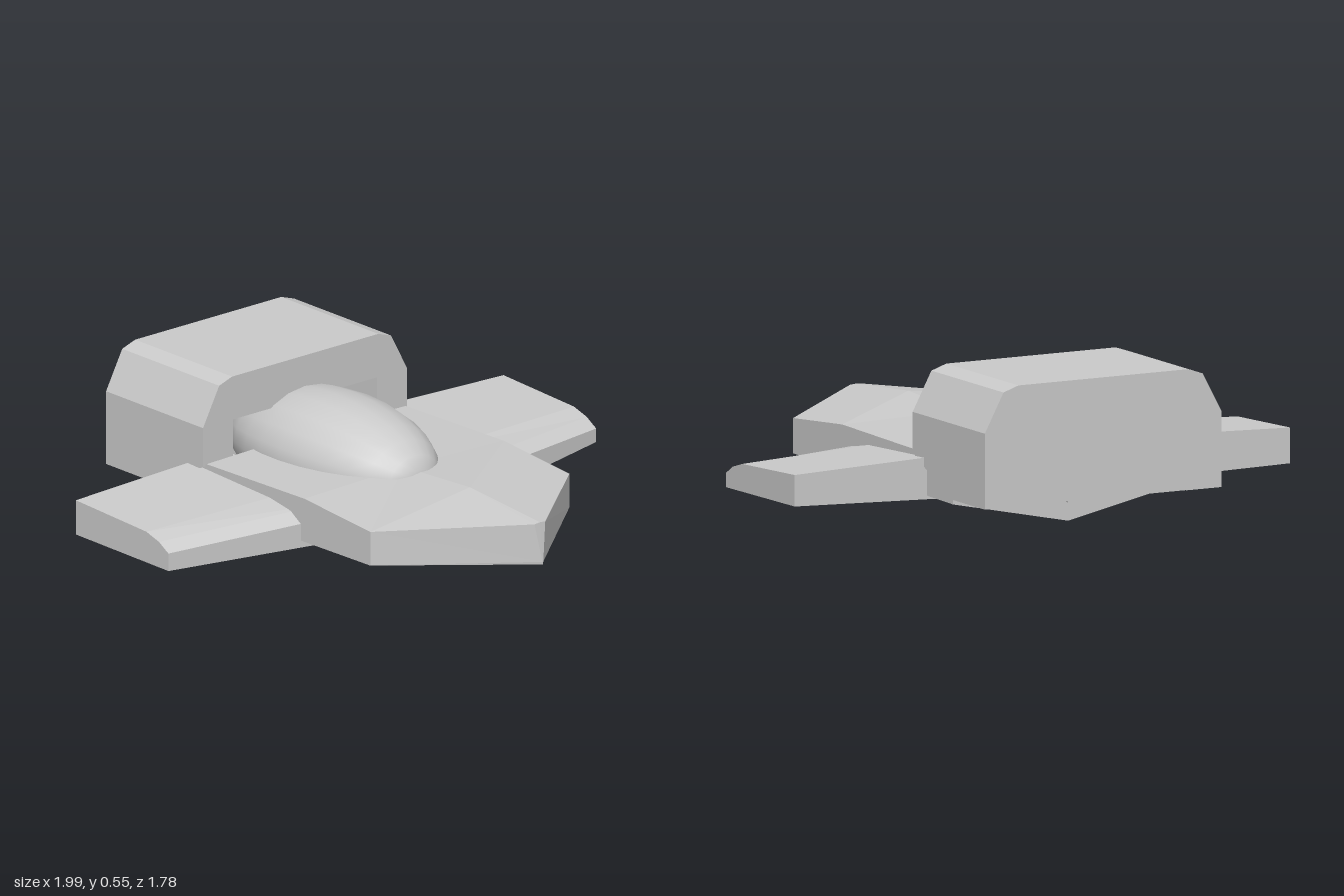
import * as THREE from 'three';

const material = new THREE.MeshStandardMaterial({ color: 0xcccccc, flatShading: true });
const smoothMaterial = new THREE.MeshStandardMaterial({ color: 0xcccccc });

// Skin over cross-sections (counter-clockwise [x, y, z] loops, back to front), capped at both ends
function loft(sections) {
  const n = sections[0].length;
  const index = [];
  for (let i = 0; i < sections.length - 1; i++) {
    for (let j = 0; j < n; j++) {
      const a = i * n + j, b = i * n + (j + 1) % n;
      index.push(a, b, b + n, a, b + n, a + n);
    }
  }
  const cap = (s) => THREE.ShapeUtils.triangulateShape(
    sections[s].map(([x, y]) => new THREE.Vector2(x, y)), []);
  const last = sections.length - 1;
  cap(0).forEach(([a, b, c]) => index.push(a, c, b));
  cap(last).forEach(([a, b, c]) => index.push(a + last * n, b + last * n, c + last * n));
  const indexed = new THREE.BufferGeometry();
  indexed.setAttribute('position', new THREE.Float32BufferAttribute(sections.flat(2), 3));
  indexed.setIndex(index);
  const geometry = indexed.toNonIndexed();
  geometry.computeVertexNormals();
  return geometry;
}

function addPart(group, name, geometry, mat = material) {
  const mesh = new THREE.Mesh(geometry, mat);
  mesh.name = name;
  group.add(mesh);
  return mesh;
}

const hullSection = (z, top, ridge, low, keel, w = 0.463) => [
  [w, low, z], [w, top, z], [0, ridge, z], [-w, top, z], [-w, low, z], [0, keel, z],
];

// Housing outline, with a notch in its underside up to notchTop
const housingSection = (z, base, notchTop) => [
  [0.335, base, z], [0.475, base, z], [0.475, 0.39, z], [0.4, 0.53, z], [0.34, 0.55, z],
  [-0.34, 0.55, z], [-0.4, 0.53, z], [-0.475, 0.39, z], [-0.475, base, z], [-0.335, base, z],
  [-0.335, notchTop, z], [0.335, notchTop, z],
];

// Wing profile: leading edge, bottom and top heights, at a distance from the centre
function wingSection(span, lead, bottom, rearBottom, nose, crest, rearTop, side) {
  const loop = [
    [-lead, bottom], [0.457, rearBottom], [0.457, rearTop], [0.1 - lead * 0.5, crest],
    [-lead + 0.05, nose + (crest - nose) * 0.6], [-lead, nose],
  ].map(([x, y]) => [x * side, y, span]);
  return side > 0 ? loop : loop.reverse();
}

export function createModel() {
  const model = new THREE.Group();
  model.name = 'spacecraft';

  // Hull with pointed nose, low ridge and shallow keel
  addPart(model, 'hull', loft([
    hullSection(-0.64, 0.12, 0.122, 0.1, 0.003),
    hullSection(-0.37, 0.255, 0.265, 0.105, 0.002),
    hullSection(0.15, 0.265, 0.275, 0.105, 0.002),
    hullSection(0.5, 0.235, 0.293, 0.11, 0.03),
    [[0.002, 0.12, 0.888], [0.025, 0.26, 0.872], [0, 0.262, 0.872],
      [-0.025, 0.26, 0.872], [-0.002, 0.12, 0.888], [0, 0.11, 0.888]],
  ]));

  // Wings, rooted inside the hull
  for (const side of [1, -1]) {
    const tipBottom = side > 0 ? 0.105 : 0.09;
    const wing = loft([
      wingSection(0.3, 0.16, 0.075, 0.085, 0.17, 0.225, 0.245, side),
      wingSection(0.995, 0.035, tipBottom, tipBottom + 0.005, 0.155, 0.205, 0.222, side),
    ]);
    wing.rotateY(side * Math.PI / 2);
    addPart(model, side > 0 ? 'leftWing' : 'rightWing', wing);
  }

  // Canopy: long dome with a blunt front
  const canopyPoints = [new THREE.Vector2(0, -0.46)];
  for (let i = 0; i <= 12; i++) {
    const t = -1.34 + (2.68 * i) / 12;
    canopyPoints.push(new THREE.Vector2(0.265 * Math.cos(t), 0.472 * Math.sin(t)));
  }
  canopyPoints.push(new THREE.Vector2(0, 0.46));
  const canopy = new THREE.LatheGeometry(canopyPoints, 20);
  canopy.rotateX(Math.PI / 2);
  canopy.scale(1, 0.79, 1);
  canopy.translate(0, 0.24, -0.22);
  addPart(model, 'canopy', canopy, smoothMaterial);

  // Engine housing: solid rear block, front hood open around the canopy
  addPart(model, 'housingRear', loft([
    housingSection(-0.89, 0.12, 0.121),
    housingSection(-0.64, 0.12, 0.121),
  ]));
  addPart(model, 'housingHood', loft([
    housingSection(-0.64, 0.12, 0.39),
    housingSection(-0.375, 0.245, 0.39),
  ]));

  // Small stud on the stern
  const stud = new THREE.CylinderGeometry(0.012, 0.012, 0.02, 10);
  stud.rotateX(Math.PI / 2);
  addPart(model, 'sternStud', stud).position.set(0, 0.08, -0.645);

  return model;
}
